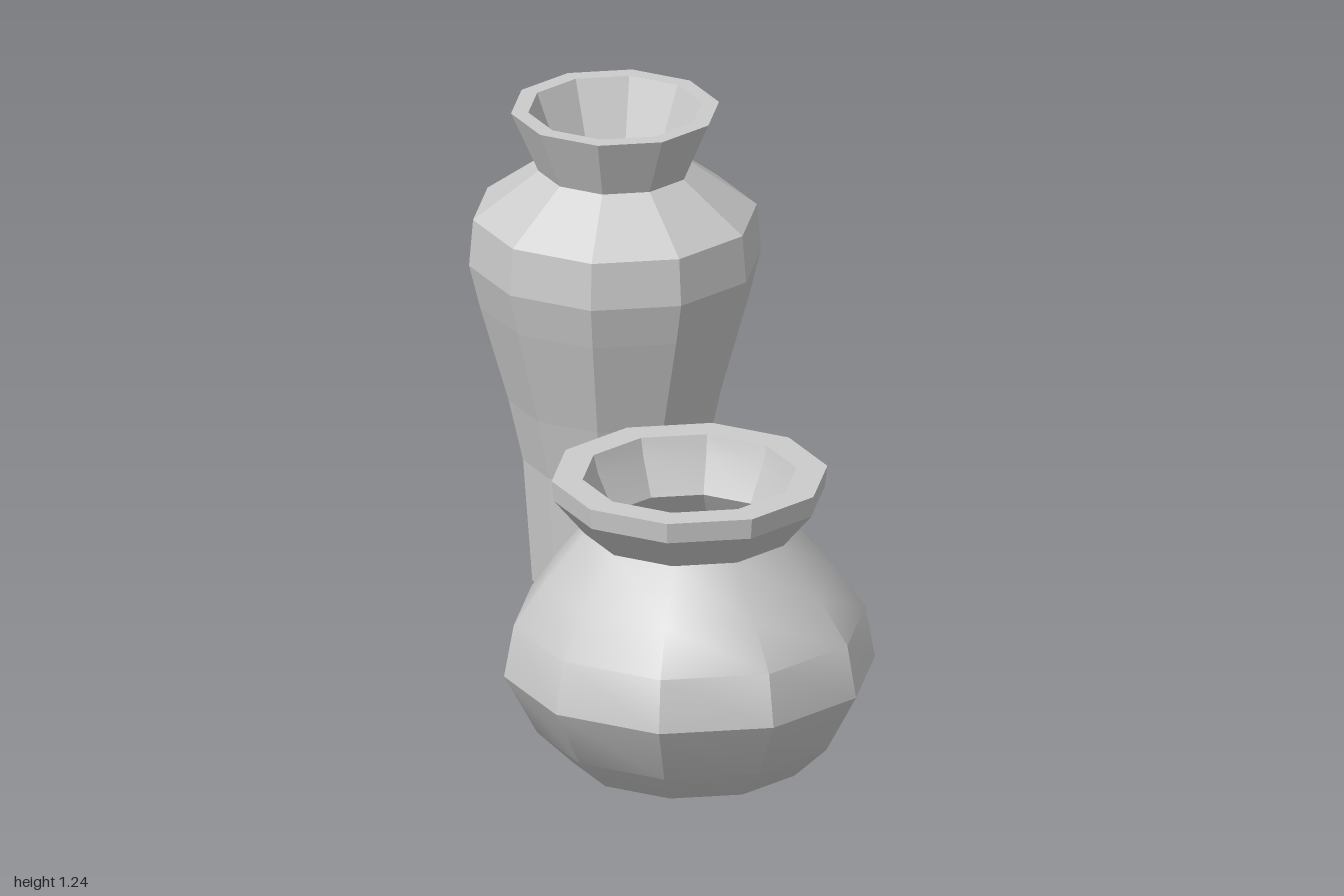
import * as THREE from 'three';
import { toCreasedNormals } from 'three/addons/utils/BufferGeometryUtils.js';

const SIDES = 10;

// Closed ten-sided vessel: the profile runs up the outside, over the rim and down the inside
function vessel(name, profile, z, smooth) {
  const points = profile.map(([r, y]) => new THREE.Vector2(r, y));
  let geometry = new THREE.LatheGeometry(points, SIDES, Math.PI / 2);
  if (smooth) geometry = toCreasedNormals(geometry, THREE.MathUtils.degToRad(30));
  const material = new THREE.MeshStandardMaterial({ color: 0xcccccc, flatShading: !smooth });
  const mesh = new THREE.Mesh(geometry, material);
  mesh.name = name;
  mesh.position.z = z;
  return mesh;
}

export function createModel() {
  const group = new THREE.Group();
  group.name = 'vases';

  // Squat round pot in front
  const pot = [
    [0, 0.004], [0.29, 0.004], [0.378, 0.088], [0.46, 0.24], [0.436, 0.373], [0.36, 0.48],
    [0.26, 0.605], [0.336, 0.695], [0.342, 0.748], // neck and outer rim
    [0.265, 0.748], [0.252, 0.70], [0.21, 0.61], // inner rim and throat
    [0.31, 0.46], [0.385, 0.355], [0.405, 0.245], [0.335, 0.11], [0.265, 0.05], [0, 0.05],
  ];
  group.add(vessel('roundPot', pot, 0.562, true));

  // Tall shouldered vase behind
  const vase = [
    [0, 0], [0.205, 0], [0.228, 0.32], [0.264, 0.48], [0.335, 0.73], [0.362, 0.84], [0.352, 0.96],
    [0.19, 1.08], [0.258, 1.235], // neck and flared rim
    [0.215, 1.235], [0.155, 1.08], // inner rim and throat
    [0.31, 0.94], [0.318, 0.84], [0.29, 0.73], [0.22, 0.48], [0.184, 0.32], [0.165, 0.05], [0, 0.05],
  ];
  group.add(vessel('tallVase', vase, -0.658, false));

  return group;
}
